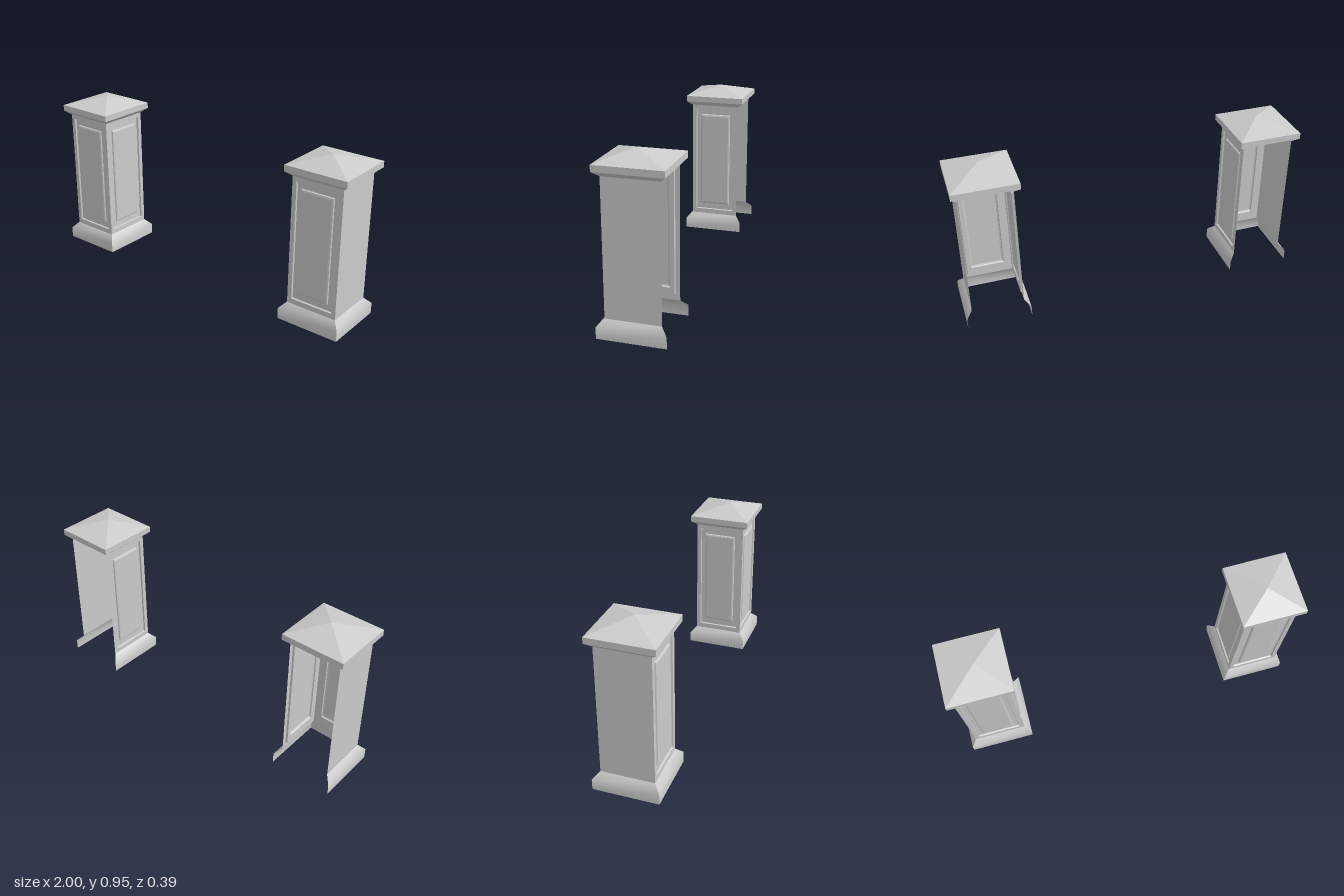
import * as THREE from 'three';

const material = new THREE.MeshStandardMaterial({ color: 0xcccccc, side: THREE.DoubleSide });

// Sheet through rows of [u, y, d] points; rows share vertices so normals blend between them.
function sheet(rows, closed = false) {
  const n = rows[0].length;
  const index = [];
  for (let r = 0; r < rows.length - 1; r++) {
    for (let i = 0; i < (closed ? n : n - 1); i++) {
      const j = (i + 1) % n;
      const a = r * n + i, b = r * n + j, c = a + n, d = b + n;
      index.push(a, b, d, a, d, c);
    }
  }
  const g = new THREE.BufferGeometry();
  g.setAttribute('position', new THREE.Float32BufferAttribute(rows.flat(2), 3));
  g.setIndex(index);
  g.computeVertexNormals();
  return g;
}

// Flat-faceted copy of a geometry
function faceted(g) {
  const f = g.toNonIndexed();
  f.computeVertexNormals();
  return f;
}

function add(parent, name, geometry) {
  const mesh = new THREE.Mesh(geometry, material);
  mesh.name = name;
  parent.add(mesh);
  return mesh;
}

// One side's strip of a square moulding: profile of [half width, y]
const moulding = (profile) => sheet(profile.map(([h, y]) => [[-h, y, h], [h, y, h]]));

const SHAFT = 0.15, CAP = 0.183;

// Frame, recess and raised field, as nested rectangles [half width, bottom, top, depth]
function panelGeometry() {
  const rings = [
    [SHAFT, 0.1, 0.838, 0],
    [0.125, 0.13, 0.815, 0],
    [0.122, 0.133, 0.812, -0.01],
    [0.097, 0.17, 0.778, -0.01],
    [0.094, 0.174, 0.775, -0.003],
    [0.086, 0.182, 0.766, 0],
  ].map(([w, b, t, d]) => [
    [-w, b, SHAFT + d], [w, b, SHAFT + d], [w, t, SHAFT + d], [-w, t, SHAFT + d],
  ]);
  const [bl, br, tr, tl] = rings[rings.length - 1];
  return [faceted(sheet(rings, true)), sheet([[bl, br], [tl, tr]])];
}

function pedestal(inward, apexX, apexZ) {
  const group = new THREE.Group();

  // Three thin walls; the back stays open
  const sides = [
    ['front', 0, true],
    ['inner', inward * Math.PI / 2, true],
    ['outer', -inward * Math.PI / 2, false],
  ];
  for (const [label, angle, panelled] of sides) {
    const side = new THREE.Group();
    side.name = label + 'Side';
    side.rotation.y = angle;
    add(side, 'base', moulding([[0.185, 0], [0.185, 0.063], [SHAFT, 0.1]]));
    if (panelled) {
      const [frame, field] = panelGeometry();
      add(side, 'panelFrame', frame);
      add(side, 'raisedPanel', field);
    } else {
      add(side, 'plainWall', moulding([[SHAFT, 0.1], [SHAFT, 0.838]]));
    }
    add(side, 'capMoulding', moulding([[SHAFT, 0.838], [CAP, 0.865]]));
    group.add(side);
  }

  // Cap slab with a low pyramid, its peak slightly off centre
  add(group, 'capSlab', new THREE.BoxGeometry(CAP * 2, 0.035, CAP * 2).translate(0, 0.8825, 0));
  const roof = new THREE.ConeGeometry(CAP * Math.SQRT2, 0.053, 4, 1, true);
  roof.rotateY(Math.PI / 4).translate(0, 0.9265, 0);
  const p = roof.attributes.position;
  for (let i = 0; i < p.count; i++) {
    if (p.getY(i) > 0.93) p.setXYZ(i, apexX, p.getY(i), apexZ);
  }
  add(group, 'capPyramid', faceted(roof));
  return group;
}

export function createModel() {
  const model = new THREE.Group();
  model.name = 'pedestalPair';

  const right = pedestal(1, 0.014, -0.002);
  right.name = 'rightPedestal';
  right.position.set(-0.815, 0, 0.01);

  const left = pedestal(-1, 0, 0.018);
  left.name = 'leftPedestal';
  left.position.set(0.812, 0, -0.01);

  model.add(right, left);
  return model;
}
